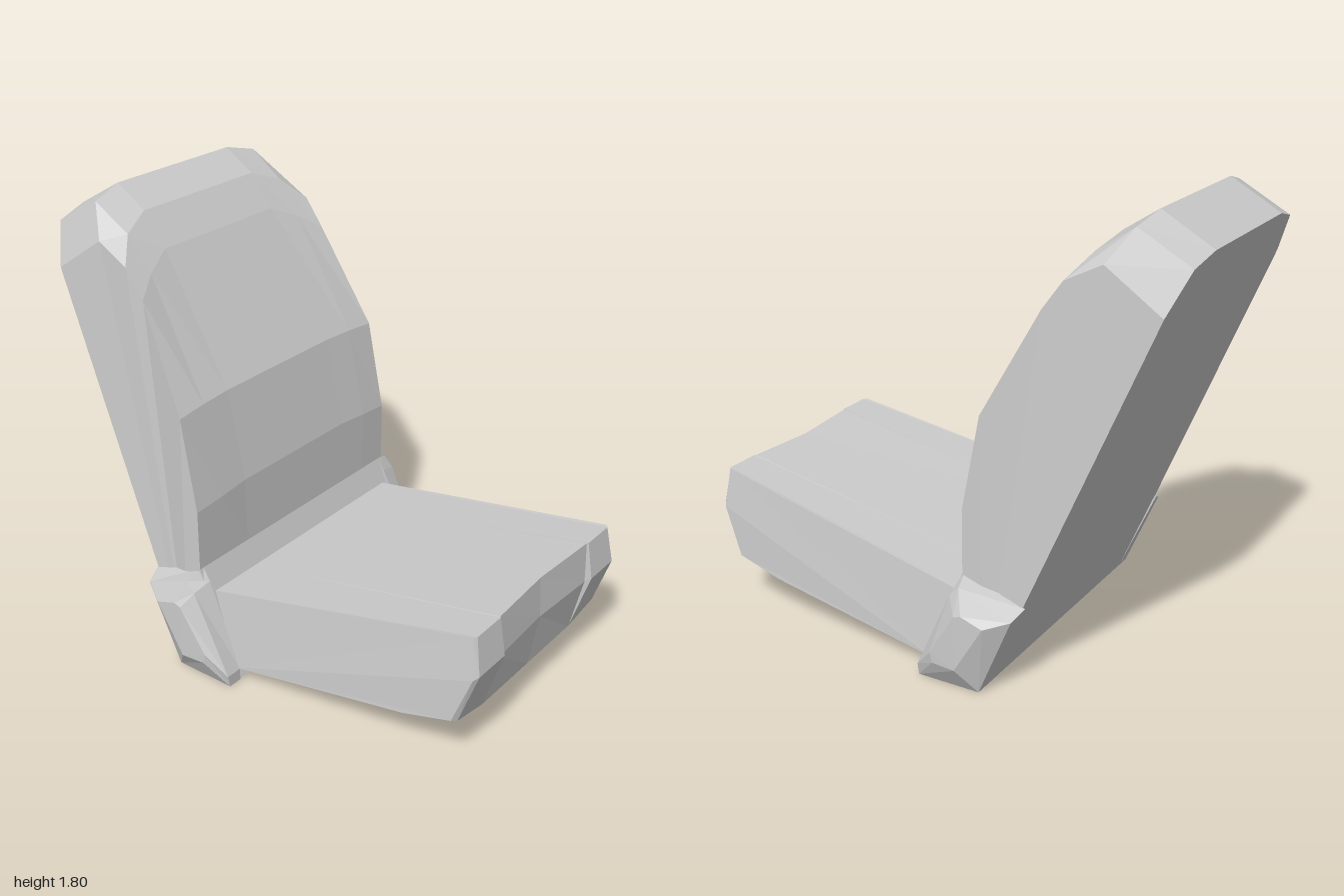
import * as THREE from 'three';

const material = new THREE.MeshStandardMaterial({ color: 0xcccccc, flatShading: true, roughness: 0.8 });

// Skins closed profiles ordered from -z to +z (each counter-clockwise seen from +z) and caps both ends.
function loft(name, sections) {
  const pos = [];
  const tri = (a, b, c) => pos.push(...a, ...b, ...c);
  const n = sections[0].length;
  for (let i = 0; i < sections.length - 1; i++) {
    for (let j = 0; j < n; j++) {
      const k = (j + 1) % n;
      const [s, t] = [sections[i], sections[i + 1]];
      tri(s[j], s[k], t[k]);
      tri(s[j], t[k], t[j]);
    }
  }
  const first = sections[0], last = sections[sections.length - 1];
  for (let j = 1; j < n - 1; j++) {
    tri(last[0], last[j], last[j + 1]);
    tri(first[0], first[j + 1], first[j]);
  }
  const geometry = new THREE.BufferGeometry();
  geometry.setAttribute('position', new THREE.Float32BufferAttribute(pos, 3));
  geometry.computeVertexNormals();
  const mesh = new THREE.Mesh(geometry, material);
  mesh.name = name;
  return mesh;
}

// Profile in the x-y plane; a third value overrides the shared z.
const section = (z, pts) => pts.map(([x, y, pz = z]) => [x, y, pz]);
const flip = (sections) => sections.map((s) => s.map(([x, y, z]) => [x, y, -z])).reverse();

export function createModel() {
  const seat = new THREE.Group();
  seat.name = 'seat';

  // Backrest: flat centre, rounded top corners, slightly tapered sides
  const backHalf = [
    section(0.31, [[-0.29, 0], [-0.03, 0], [-0.2, 0.45], [-0.205, 0.72], [-0.28, 1.085],
      [-0.57, 1.59], [-0.67, 1.72], [-0.8, 1.805], [-1, 1.69]]),
    section(0.45, [[-0.29, 0], [-0.03, 0], [-0.2, 0.45], [-0.2, 0.71], [-0.275, 1.08],
      [-0.53, 1.535, 0.43], [-0.63, 1.67, 0.44], [-0.78, 1.77], [-0.985, 1.655]]),
    section(0.59, [[-0.29, 0], [-0.03, 0.01], [-0.2, 0.45], [-0.2, 0.7], [-0.27, 1.07, 0.585],
      [-0.48, 1.47, 0.53], [-0.56, 1.58, 0.53], [-0.7, 1.65, 0.52], [-0.92, 1.5, 0.525]]),
  ];
  seat.add(loft('backrest', [...flip(backHalf), ...backHalf]));

  // Cushion: recessed middle of the nose, bevelled lower edges
  const cushionHalf = [
    section(0.31, [[-0.05, 0.01], [0.71, 0.12], [0.92, 0.17], [0.975, 0.4], [0.97, 0.57], [-0.18, 0.345]]),
    section(0.315, [[-0.05, 0.01, 0.39], [0.71, 0.12, 0.33], [0.92, 0.17], [1, 0.42], [0.975, 0.57], [-0.18, 0.345]]),
    section(0.48, [[-0.05, 0.045, 0.56], [0.71, 0.155, 0.51], [0.925, 0.205, 0.49], [1, 0.42], [0.975, 0.57, 0.465], [-0.18, 0.345, 0.54]]),
    section(0.5, [[-0.05, 0.05, 0.575], [0.71, 0.16, 0.525], [0.91, 0.21, 0.51], [0.985, 0.41], [0.965, 0.57, 0.48], [-0.18, 0.345, 0.55]]),
  ];
  const cushionMiddle = section(0, [[-0.05, 0.01], [0.71, 0.12], [0.92, 0.17], [0.96, 0.4], [0.95, 0.565], [-0.18, 0.345]]);
  seat.add(loft('cushion', [...flip(cushionHalf), cushionMiddle, ...cushionHalf]));

  // Recliner covers on both sides of the joint
  const cover = [
    section(0.57, [[-0.29, 0], [-0.03, 0], [-0.03, 0.05], [-0.17, 0.4], [-0.2, 0.45], [-0.45, 0.36]]),
    section(0.64, [[-0.29, 0, 0.63], [-0.03, 0, 0.63], [-0.03, 0.05], [-0.18, 0.38, 0.65], [-0.22, 0.42, 0.65], [-0.43, 0.33]]),
    section(0.69, [[-0.22, 0.1], [-0.12, 0.1, 0.68], [-0.11, 0.14, 0.68], [-0.22, 0.32], [-0.25, 0.33], [-0.34, 0.3]]),
  ];
  seat.add(loft('frontSideReclinerCover', cover), loft('rearSideReclinerCover', flip(cover)));

  return seat;
}
